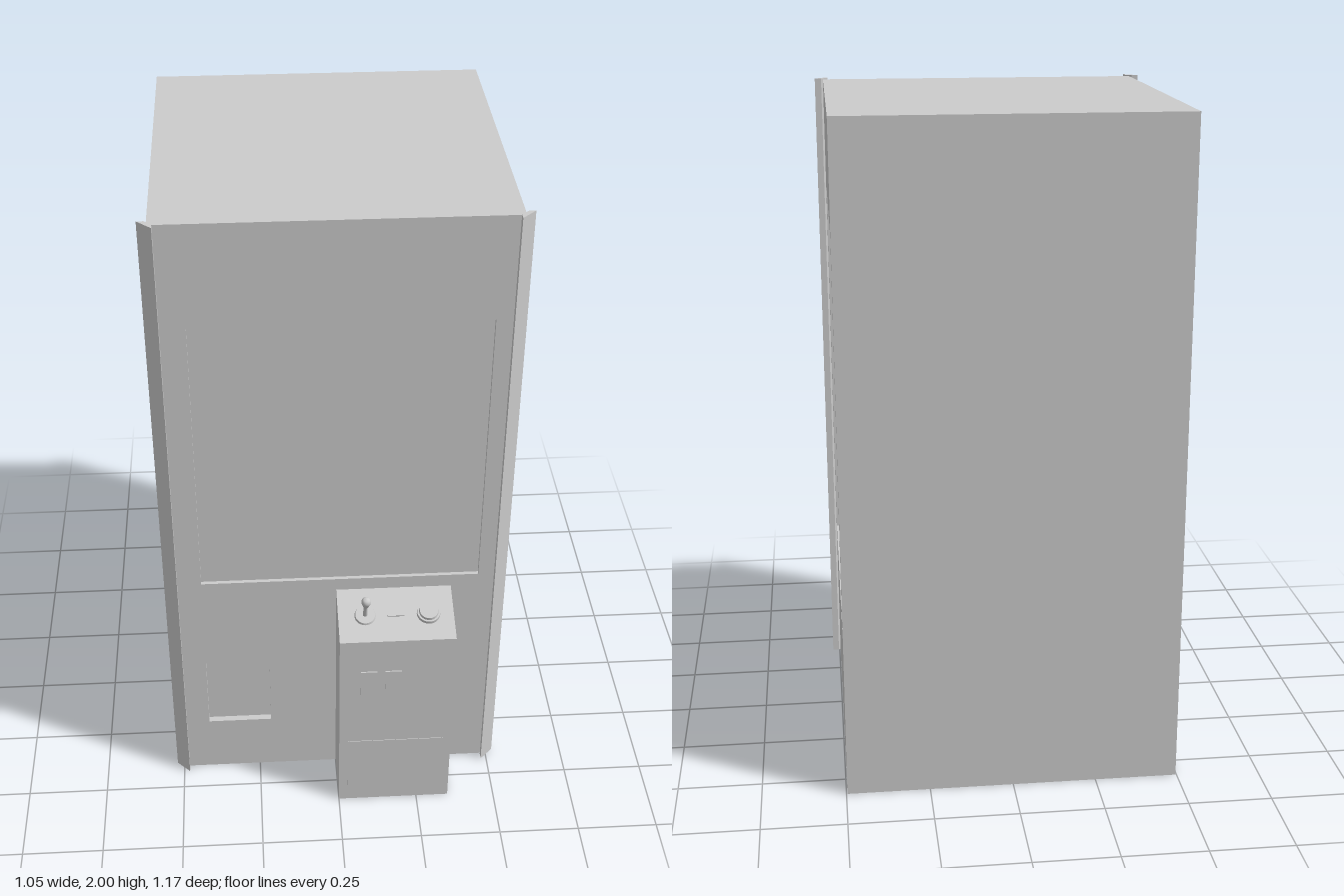
import * as THREE from 'three';

const material = new THREE.MeshStandardMaterial({ color: 0xcccccc });

function add(parent, name, geometry, x = 0, y = 0, z = 0) {
  const mesh = new THREE.Mesh(geometry, material);
  mesh.name = name;
  mesh.position.set(x, y, z);
  parent.add(mesh);
  return mesh;
}

function polygon(points) {
  return new THREE.Shape(points.map(([a, b]) => new THREE.Vector2(a, b)));
}

const rect = (a0, b0, a1, b1) => [[a0, b0], [a1, b0], [a1, b1], [a0, b1]];

function extrude(shape, depth) {
  return new THREE.ExtrudeGeometry(shape, { depth, bevelEnabled: false });
}

// Flat wall with rectangular openings
function wall(outer, openings, depth) {
  const shape = polygon(rect(...outer));
  for (const o of openings) shape.holes.push(polygon(rect(...o).reverse()));
  return extrude(shape, depth);
}

export function createModel() {
  const model = new THREE.Group();
  model.name = 'clawMachine';

  const HX = 0.497, FRONT = 0.408, BACK = -0.585, TOP = 1.996;
  const SIDE = 0.012, FACE = 0.02;

  // Cabinet core, which also shows through the openings
  const coreDepth = FRONT - FACE - BACK;
  add(model, 'cabinetCore', new THREE.BoxGeometry(2 * (HX - SIDE), TOP, coreDepth),
    0, TOP / 2, BACK + coreDepth / 2);

  // Front wall with the window and the prize hatch
  const win = [-0.41, 0.78, 0.435, 1.68];
  const hatch = [-0.41, 0.2, -0.21, 0.47];
  add(model, 'frontWall', wall([-HX, 0, HX, TOP], [win, hatch], FACE), 0, 0, FRONT - FACE);
  add(model, 'frontWindow', new THREE.BoxGeometry(win[2] - win[0], win[3] - win[1], 0.01),
    (win[0] + win[2]) / 2, (win[1] + win[3]) / 2, FRONT - 0.017);

  // Side walls with recessed windows
  for (const s of [-1, 1]) {
    const g = wall([BACK, 0, FRONT - FACE, TOP], [[-0.523, 0.5, 0.325, 1.67]], SIDE);
    g.rotateY(-Math.PI / 2);
    add(model, s > 0 ? 'leftWall' : 'rightWall', g, s > 0 ? HX : -HX + SIDE);
  }

  // Angled corner strips
  for (const s of [-1, 1]) {
    const strip = [[0.523, 0.393], [0.503, 0.393], [0.482, 0.413], [0.482, 0.433]];
    const g = extrude(polygon(strip.map(([x, z]) => [s * x, -z])), 2);
    g.rotateX(-Math.PI / 2);
    add(model, s > 0 ? 'leftCornerStrip' : 'rightCornerStrip', g);
  }

  // Control console with a sloping top
  const consoleWidth = 0.352, consoleFront = 0.581;
  const console_ = extrude(polygon([[0.4, 0], [consoleFront, 0], [consoleFront, 0.675],
    [FRONT, 0.738], [0.4, 0.738]]), consoleWidth);
  console_.rotateY(-Math.PI / 2);
  add(model, 'controlConsole', console_, consoleWidth);
  add(model, 'consoleLowerPlate', new THREE.BoxGeometry(0.3, 0.23, 0.006),
    0.178, 0.145, consoleFront - 0.001);
  for (const x of [0.09, 0.165]) {
    add(model, 'coinSlot', new THREE.BoxGeometry(0.05, 0.1, 0.008), x, 0.505, consoleFront);
  }

  // Controls, laid out on the plane of the sloping top
  const controls = new THREE.Group();
  controls.name = 'controls';
  controls.position.set(0, 0.706, 0.496);
  controls.rotation.x = Math.atan2(0.738 - 0.675, consoleFront - FRONT);
  model.add(controls);

  add(controls, 'joystickBase', new THREE.CylinderGeometry(0.03, 0.033, 0.008, 32), 0.082, 0.003, 0);
  const stick = [[0, 0], [0.007, 0], [0.006, 0.05], [0.009, 0.062], [0.014, 0.08],
    [0.014, 0.09], [0.009, 0.098], [0, 0.101]];
  add(controls, 'joystick', new THREE.LatheGeometry(
    new THREE.SplineCurve(stick.map(([r, y]) => new THREE.Vector2(r, y))).getPoints(28)
      .map((p) => new THREE.Vector2(Math.max(p.x, 0), p.y)), 24), 0.082, 0, 0);
  add(controls, 'slotPlate', new THREE.BoxGeometry(0.052, 0.006, 0.013), 0.175, 0.001, 0);
  add(controls, 'buttonRing', new THREE.CylinderGeometry(0.035, 0.036, 0.012, 32), 0.275, 0.005, 0);
  add(controls, 'button', new THREE.CylinderGeometry(0.028, 0.03, 0.012, 32), 0.275, 0.014, 0);

  return model;
}
